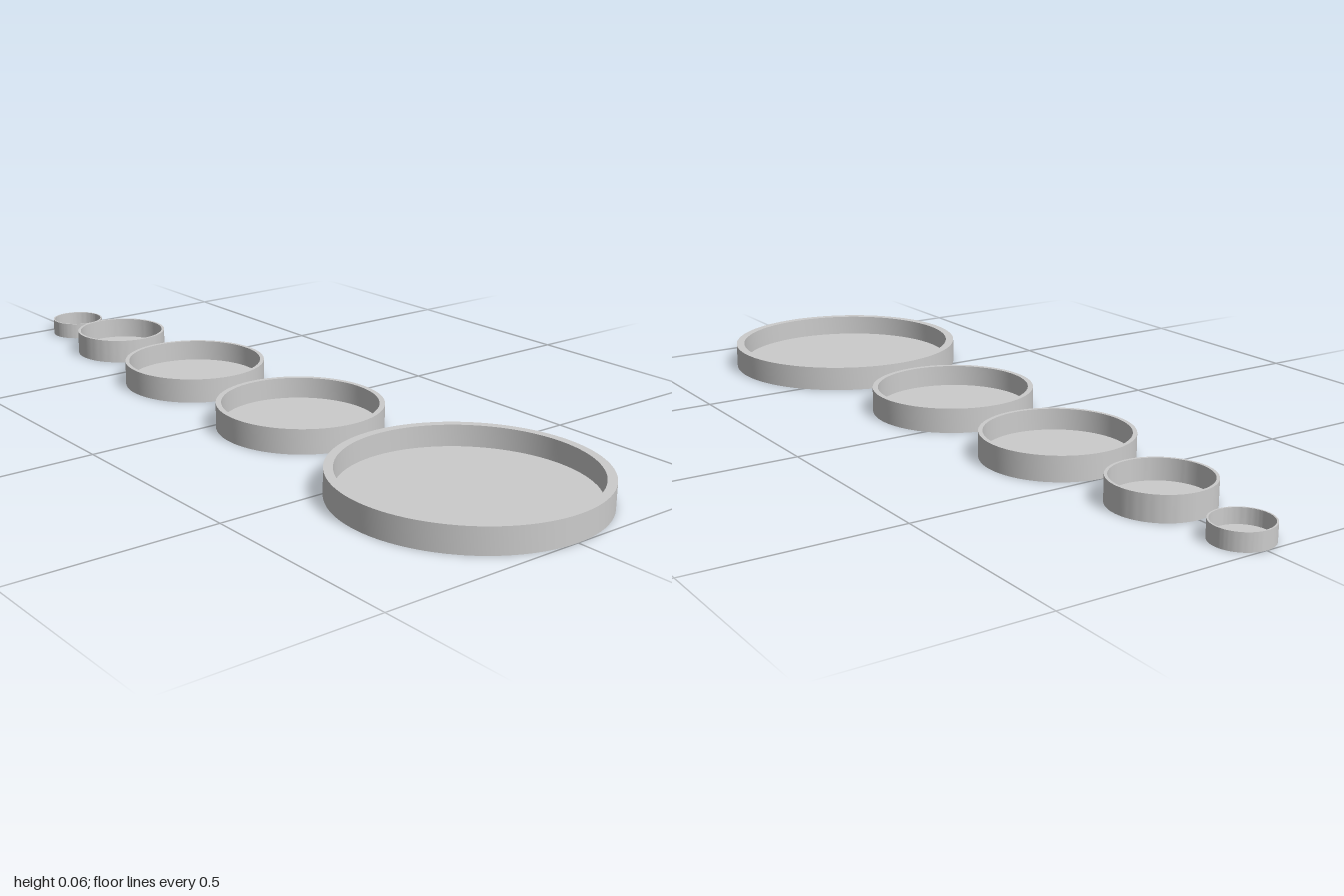
import * as THREE from 'three';
import { toCreasedNormals } from 'three/addons/utils/BufferGeometryUtils.js';

// Each dish: name, centre z, outer radius, inner radius, height, floor thickness
const DISHES = [
  ['largestDish', 0.695, 0.305, 0.284, 0.061, 0.009],
  ['largeDish', 0.126, 0.202, 0.189, 0.061, 0.009],
  ['mediumDish', -0.32, 0.181, 0.171, 0.061, 0.009],
  ['smallDish', -0.686, 0.12, 0.113, 0.061, 0.009],
  ['smallestDish', -0.93, 0.07, 0.066, 0.042, 0.006],
];

// Shallow round dish: flat base, straight wall, flat rim, recessed floor
function dishGeometry(outer, inner, height, floor) {
  const profile = [
    [0, 0], [outer, 0], [outer, height], [inner, height], [inner, floor], [0, floor],
  ].map(([x, y]) => new THREE.Vector2(x, y));
  return toCreasedNormals(new THREE.LatheGeometry(profile, 96), Math.PI / 6);
}

export function createModel() {
  const model = new THREE.Group();
  model.name = 'dishSet';
  const grey = new THREE.MeshStandardMaterial({ color: 0xcccccc });
  grey.name = 'light grey';

  // Row of dishes, largest at the front
  for (const [name, z, outer, inner, height, floor] of DISHES) {
    const dish = new THREE.Mesh(dishGeometry(outer, inner, height, floor), grey);
    dish.name = name;
    dish.position.z = z;
    model.add(dish);
  }
  return model;
}
